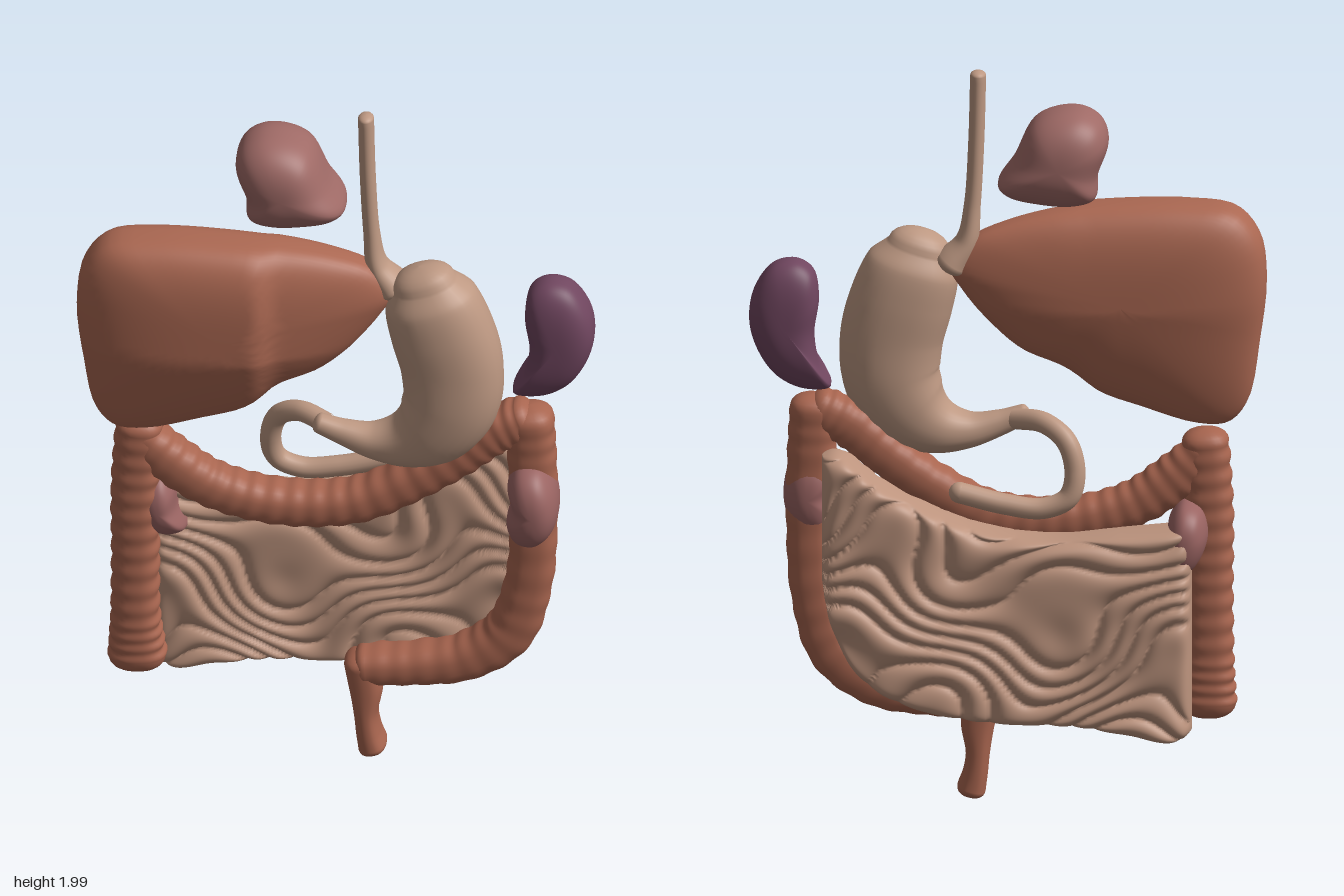
import * as THREE from 'three';

const mat = (name, color) => Object.assign(new THREE.MeshStandardMaterial({ color }), { name });

// Skin a list of closed rings that run counter-clockwise about the direction of travel
function loft(rings) {
  const n = rings[0].length, index = [];
  for (let r = 0; r < rings.length - 1; r++) {
    for (let i = 0; i < n; i++) {
      const a = r * n + i, b = r * n + (i + 1) % n;
      index.push(a, b, a + n, b, b + n, a + n);
    }
  }
  const geo = new THREE.BufferGeometry();
  geo.setAttribute('position', new THREE.Float32BufferAttribute(rings.flat(2), 3));
  geo.setIndex(index);
  geo.computeVertexNormals();
  return geo;
}

// Rounded organ: an outline in xy, swollen to a front and a back depth
function organ(outline, [cx, cy], front, back, n = 3, mid = null) {
  const curve = new THREE.CatmullRomCurve3(outline.map(([x, y]) => new THREE.Vector3(x, y, 0)), true);
  const pts = curve.getPoints(72).slice(0, -1);
  if (THREE.ShapeUtils.isClockWise(pts)) pts.reverse();
  const depth = (d, x, y) => (typeof d === 'function' ? d(x, y) : d);
  const rings = [], steps = 22;
  for (let k = -steps; k <= steps; k++) {
    const s = Math.max(Math.cos((k / steps) * Math.PI / 2), 0.001);
    const side = k < 0 ? back : front;
    const swell = k === 0 ? 0 : Math.pow(1 - Math.pow(s, n), 1 / n);
    rings.push(pts.map((p) => {
      const x = cx + (p.x - cx) * s, y = cy + (p.y - cy) * s;
      const m = mid ?? (depth(front, x, y) + depth(back, x, y)) / 2;
      return [x, y, m + (depth(side, x, y) - m) * swell];
    }));
  }
  return loft(rings);
}

// Tube with changing width and depth; sections are [x, y, halfWidth, halfDepth]
function gut(sections, z, { ripples = 0, amp = 0, steps = 90, power = 0.8 } = {}) {
  const path = new THREE.CatmullRomCurve3(sections.map((s) => new THREE.Vector3(s[0], s[1], 0)));
  const size = new THREE.CatmullRomCurve3(sections.map((s) => new THREE.Vector3(s[2], s[3], 0)), false, 'catmullrom');
  const soft = (v) => Math.sign(v) * Math.pow(Math.abs(v), power);
  const ring = (t, shift, shrink) => {
    const p = path.getPoint(t), d = path.getTangent(t), r = size.getPoint(t);
    const k = shrink * (1 + amp * Math.sin(t * ripples * Math.PI * 2));
    const ox = p.x + d.x * shift * r.x, oy = p.y + d.y * shift * r.x;
    return Array.from({ length: 28 }, (_, i) => {
      const a = (i / 28) * Math.PI * 2;
      const w = soft(Math.cos(a)) * r.x * k;
      return [ox - d.y * w, oy + d.x * w, z + soft(Math.sin(a)) * r.y * (shrink + (k - shrink) * 0.4)];
    });
  };
  const rings = [], cap = 6;
  for (let j = 0; j < cap; j++) {
    const a = (j / cap) * Math.PI / 2;
    rings.push(ring(0, -Math.cos(a) * 0.6, Math.max(Math.sin(a), 0.001)));
  }
  for (let j = 0; j <= steps; j++) rings.push(ring(j / steps, 0, 1));
  for (let j = cap - 1; j >= 0; j--) {
    const a = (j / cap) * Math.PI / 2;
    rings.push(ring(1, Math.cos(a) * 0.6, Math.max(Math.sin(a), 0.001)));
  }
  return loft(rings);
}

// Folded mass: a slab between two edge curves with winding ridges front and back
function foldedMass() {
  const edge = (pts) => {
    const c = new THREE.SplineCurve(pts.map(([x, y]) => new THREE.Vector2(x, y))).getPoints(300);
    return (x) => {
      const i = Math.max(1, c.findIndex((p) => p.x >= x - 1e-6));
      const a = c[i - 1], b = c[i];
      return a.y + (b.y - a.y) * (x - a.x) / (b.x - a.x);
    };
  };
  const top = edge([[-0.49, 0.79], [-0.3, 0.77], [-0.1, 0.755], [0.1, 0.79], [0.3, 0.88], [0.42, 0.97], [0.48, 0.97]]);
  const bottom = edge([[-0.49, 0.23], [-0.42, 0.2], [-0.2, 0.24], [0.05, 0.25], [0.25, 0.29], [0.38, 0.37], [0.45, 0.5], [0.48, 0.64]]);
  const ridge = (x, y) => {
    const w = y + 0.1 * Math.sin(8 * x + 2) + 0.06 * Math.sin(13 * x + 9 * y) + 0.05 * Math.sin(15 * y - 7 * x);
    return Math.sqrt(Math.abs(Math.sin(38 * w)));
  };
  const cols = 150, rows = 100, rings = [];
  const spread = (t) => 0.35 * t + 0.65 * Math.sin(t * Math.PI / 2); // denser near the rim
  for (let c = 0; c <= cols; c++) {
    const u = spread((c / cols) * 2 - 1), x = -0.005 + 0.484 * u;
    const lo = bottom(x), hi = top(x), ring = [];
    for (let r = 0; r < rows * 2; r++) {
      const isFront = r < rows;
      const v = spread(isFront ? 1 - (2 * r) / rows : (2 * (r - rows)) / rows - 1);
      const y = lo + (hi - lo) * (v + 1) / 2;
      const rim = Math.pow(Math.max(0, (1 - Math.abs(u) ** 30) * (1 - Math.abs(v) ** 30)), 0.4);
      const h = (0.05 + 0.027 * ridge(x, y)) * rim;
      ring.push([x, y, -0.105 + (isFront ? h : -h)]);
    }
    rings.push(ring);
  }
  return loft(rings);
}

export function createModel() {
  const group = new THREE.Group();
  const liverMat = mat('liver brown', 0xab6852);
  const colonMat = mat('colon brown', 0xa8654f);
  const stomachMat = mat('stomach beige', 0xbd9882);
  const bowelMat = mat('bowel beige', 0xbd947e);
  const spleenMat = mat('spleen purple', 0x70465f);
  const heartMat = mat('heart rose', 0x9f6a66);
  const kidneyMat = mat('kidney rose', 0x9a6462);
  const add = (name, geo, material) => {
    const mesh = new THREE.Mesh(geo, material);
    mesh.name = name;
    group.add(mesh);
  };

  // Heart
  add('heart', organ([[-0.268, 1.82], [-0.25, 1.875], [-0.2, 1.905], [-0.13, 1.902], [-0.07, 1.87], [-0.02, 1.77],
    [0.022, 1.7], [0, 1.675], [-0.08, 1.655], [-0.18, 1.65], [-0.235, 1.67], [-0.24, 1.73]],
  [-0.14, 1.77], 0.1, -0.16, 2.6), heartMat);

  // Liver: thick right lobe, a crease, then a thin left lobe
  const liverFront = (x, y) => {
    const step = THREE.MathUtils.smoothstep(x, -0.21, -0.15);
    const low = Math.max(0, 1.3 - y) * 0.25;
    return 0.18 - 0.03 * step - Math.max(0, x + 0.18) * 0.2 - low;
  };
  const liverBack = (x, y) => -0.07 + Math.max(0, 1.35 - y) * 0.15;
  add('liver', organ([[-0.678, 1.42], [-0.66, 1.54], [-0.6, 1.61], [-0.48, 1.628], [-0.3, 1.625], [-0.15, 1.61],
    [0, 1.575], [0.1, 1.53], [0.15, 1.46], [0.12, 1.4], [0.04, 1.3], [-0.04, 1.23], [-0.15, 1.18], [-0.24, 1.11],
    [-0.35, 1.07], [-0.5, 1.025], [-0.58, 1.03], [-0.63, 1.09], [-0.66, 1.25]],
  [-0.3, 1.37], liverFront, liverBack, 3), liverMat);

  // Gullet, stomach and duodenum
  add('gullet', gut([[0.075, 1.985, 0.021, 0.028], [0.08, 1.8, 0.021, 0.028], [0.09, 1.63, 0.022, 0.028],
    [0.105, 1.53, 0.03, 0.042], [0.145, 1.47, 0.045, 0.06]], 0, { steps: 50, power: 1 }), stomachMat);
  add('stomach', gut([[0.23, 1.5, 0.085, 0.07], [0.245, 1.45, 0.122, 0.1], [0.275, 1.36, 0.135, 0.11],
    [0.303, 1.25, 0.135, 0.11], [0.3, 1.14, 0.128, 0.11], [0.25, 1.055, 0.11, 0.1], [0.18, 1.01, 0.075, 0.08],
    [0.1, 1.0, 0.048, 0.055], [0.02, 1.02, 0.034, 0.036], [-0.045, 1.045, 0.026, 0.028]], 0.03,
  { steps: 70, power: 0.9 }), stomachMat);
  const duodenum = new THREE.CatmullRomCurve3([[-0.02, 1.035, 0.02], [-0.1, 1.04, -0.03], [-0.16, 1.0, -0.065],
    [-0.182, 0.92, -0.08], [-0.165, 0.855, -0.088], [-0.1, 0.825, -0.09], [0, 0.835, -0.09], [0.12, 0.865, -0.09]]
    .map((p) => new THREE.Vector3(...p)));
  add('duodenum', new THREE.TubeGeometry(duodenum, 60, 0.028, 16), stomachMat);
  const tip = new THREE.SphereGeometry(0.028, 16, 10);
  add('duodenumEnd', tip.translate(0.12, 0.865, -0.09), stomachMat);

  // Spleen
  add('spleen', organ([[0.458, 1.14], [0.49, 1.2], [0.502, 1.28], [0.49, 1.38], [0.505, 1.455], [0.55, 1.483],
    [0.61, 1.47], [0.66, 1.4], [0.672, 1.32], [0.65, 1.24], [0.6, 1.17], [0.53, 1.135]],
  [0.575, 1.31], 0.045, -0.118, 2.8), spleenMat);

  // Large bowel in four runs
  add('ascendingColon', gut([[-0.525, 0.275, 0.076, 0.062], [-0.53, 0.4, 0.064, 0.062], [-0.53, 0.6, 0.062, 0.062],
    [-0.53, 0.8, 0.063, 0.062], [-0.52, 0.99, 0.062, 0.06]], -0.008, { ripples: 14, amp: 0.05, steps: 110 }), colonMat);
  add('transverseColon', gut([[-0.52, 0.97, 0.05, 0.058], [-0.44, 0.89, 0.062, 0.06], [-0.34, 0.82, 0.06, 0.06],
    [-0.22, 0.78, 0.058, 0.062], [-0.08, 0.768, 0.058, 0.062], [0.06, 0.79, 0.058, 0.062], [0.2, 0.865, 0.058, 0.062],
    [0.32, 0.95, 0.06, 0.062], [0.41, 1.025, 0.062, 0.062], [0.49, 1.065, 0.058, 0.06]], -0.008,
  { ripples: 22, amp: 0.04, steps: 180 }), colonMat);
  add('descendingColon', gut([[0.505, 1.07, 0.062, 0.062], [0.51, 0.95, 0.064, 0.062], [0.515, 0.75, 0.062, 0.062],
    [0.5, 0.55, 0.063, 0.062], [0.45, 0.4, 0.066, 0.062], [0.34, 0.315, 0.062, 0.062], [0.2, 0.285, 0.055, 0.062],
    [0.07, 0.275, 0.05, 0.062]], -0.008, { ripples: 16, amp: 0.025, steps: 140 }), colonMat);
  add('rectum', gut([[0.065, 0.285, 0.048, 0.06], [0.075, 0.21, 0.045, 0.06], [0.075, 0.13, 0.032, 0.06],
    [0.082, 0.07, 0.033, 0.06], [0.092, 0.028, 0.038, 0.06]], -0.008, { steps: 40 }), colonMat);

  // Small bowel
  add('smallBowel', foldedMass(), bowelMat);

  // Kidneys
  add('leftKidney', organ([[0.45, 0.89], [0.48, 0.942], [0.53, 0.945], [0.57, 0.9], [0.585, 0.82], [0.565, 0.75],
    [0.52, 0.71], [0.47, 0.72], [0.447, 0.77], [0.46, 0.83]], [0.52, 0.83], 0.13, -0.08, 2.5), kidneyMat);
  add('rightKidney', organ([[-0.53, 0.76], [-0.51, 0.825], [-0.465, 0.84], [-0.43, 0.8], [-0.42, 0.73], [-0.395, 0.665],
    [-0.43, 0.645], [-0.475, 0.65], [-0.51, 0.69]], [-0.467, 0.74], 0.045, -0.165, 2.5), kidneyMat);

  return group;
}
